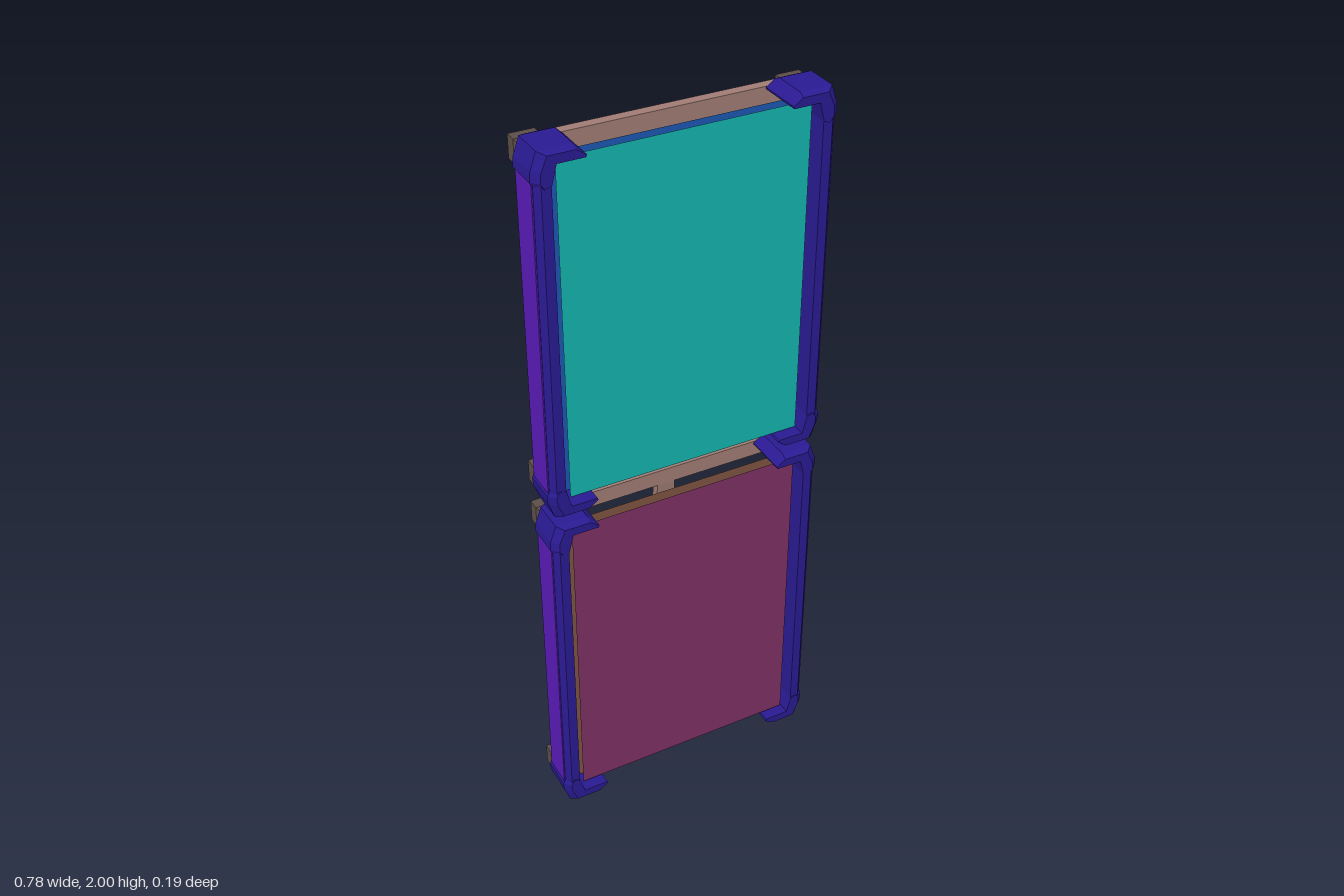
import * as THREE from 'three';

const paint = (color, extra = {}) =>
  new THREE.MeshStandardMaterial({ color, flatShading: true, ...extra });
const NAVY = paint(0x2a1a92), PURPLE = paint(0x5a1cb8), RAIL = paint(0xa07c74), CAP = paint(0x5c4e49);
const GOLD = paint(0xc48c1c, { flatShading: false, side: THREE.DoubleSide }), RUST = paint(0xc4501f);

const HALF = 0.4925;   // half height of one frame
const MID = 0.0625;    // middle of the frame depth

function add(parent, name, geometry, material, x = 0, y = 0, z = 0) {
  const mesh = new THREE.Mesh(geometry, material);
  mesh.name = name;
  mesh.position.set(x, y, z);
  parent.add(mesh);
  return mesh;
}

function shapeOf(points) {
  return new THREE.Shape(points.map(([x, y]) => new THREE.Vector2(x, y)));
}

// L-shaped corner bracket; its outer sides taper at the front and back ends
function bracketGeometry() {
  const h = HALF;
  const shape = shapeOf([[0.345, h - 0.08], [0.38, h - 0.085], [0.39, h - 0.07], [0.388, h - 0.045],
    [0.372, h], [0.285, h], [0.26, h - 0.025], [0.262, h - 0.031], [0.332, h - 0.031]]);
  const geo = new THREE.ExtrudeGeometry(shape, { depth: 3, steps: 3, bevelEnabled: false });
  const layers = [-0.0625, -0.045, 0.045, 0.0625];
  const p = geo.attributes.position;
  for (let i = 0; i < p.count; i++) {
    const layer = Math.round(p.getZ(i));
    if (layer === 0 || layer === 3) {
      if (p.getX(i) > 0.365) p.setX(i, p.getX(i) - 0.018);
      if (p.getY(i) > h - 0.01) p.setY(i, p.getY(i) - 0.008);
    }
    p.setZ(i, layers[layer]);
  }
  geo.computeVertexNormals();
  return geo;
}

// Upright post with chamfered outer edges
function postGeometry() {
  const length = 0.85;
  const shape = shapeOf([[0.345, -0.06], [0.37, -0.06], [0.383, -0.044], [0.383, 0.044], [0.37, 0.06], [0.345, 0.06]]);
  return new THREE.ExtrudeGeometry(shape, { depth: length, bevelEnabled: false })
    .translate(0, 0, -length / 2).rotateX(Math.PI / 2);
}

// Rear cap: a block with chamfered edges
function capGeometry() {
  const b = 0.012, w = 0.0325 - b, h = 0.03 - b;
  const shape = shapeOf([[-w, -h], [w, -h], [w, h], [-w, h]]);
  return new THREE.ExtrudeGeometry(shape, { depth: 0.044 - b, bevelSize: b, bevelThickness: b, bevelSegments: 1 })
    .translate(0, 0, -0.022 + b / 2);
}

// Cup with four ribs gripping it from outside and inside
function buildCup() {
  const cup = new THREE.Group();
  cup.name = 'cup';
  const profile = [[0, 0.004], [0.05, 0.004], [0.07, 0.01], [0.08, 0.026], [0.088, 0.045], [0.095, 0.068],
    [0.08, 0.068], [0.07, 0.04], [0.05, 0.022], [0, 0.018]].map(([r, y]) => new THREE.Vector2(r, y));
  add(cup, 'cupBowl', new THREE.LatheGeometry(profile, 24), GOLD).rotation.x = -Math.PI / 2;
  const ribShape = shapeOf([[0.048, 0], [0.077, 0], [0.083, 0.006], [0.101, 0.07], [0.075, 0.07],
    [0.062, 0.04], [0.045, 0.028]]);
  const rib = new THREE.ExtrudeGeometry(ribShape, { depth: 0.032, bevelEnabled: false })
    .translate(0, 0, -0.016).rotateX(-Math.PI / 2);
  for (let i = 0; i < 4; i++) add(cup, 'cupRib', rib, RUST).rotation.z = i * Math.PI / 2;
  return cup;
}

function buildFrame(frontColor, backColor) {
  const frame = new THREE.Group();

  // Posts and brackets
  const bracket = bracketGeometry(), post = postGeometry();
  const strip = new THREE.BoxGeometry(0.006, 0.85, 0.084).translate(0.383, 0, 0);
  for (const turn of [0, Math.PI]) {
    add(frame, 'post', post, NAVY, 0, 0, MID).rotation.y = turn;
    add(frame, 'postStrip', strip, PURPLE, 0, 0, MID).rotation.y = turn;
    add(frame, 'cornerBracket', bracket, NAVY, 0, 0, MID).rotation.y = turn;
    add(frame, 'cornerBracket', bracket, NAVY, 0, 0, MID).rotation.set(Math.PI, turn, 0);
  }

  // Thin front and back panels
  const panel = new THREE.PlaneGeometry(0.65, 0.915);
  add(frame, 'frontPanel', panel, paint(frontColor, { side: THREE.DoubleSide }), 0, 0.005, 0.1);
  add(frame, 'backPanel', panel, paint(backColor, { side: THREE.DoubleSide }), 0, 0.005, 0.07);

  // Cross rails with end caps, and the strut bowed out to the middle
  const cap = capGeometry();
  const rail = new THREE.BoxGeometry(0.64, 0.045, 0.028);
  const strut = new THREE.BoxGeometry(0.052, 0.43, 0.025);
  for (const s of [-1, 1]) {
    add(frame, 'crossRail', rail, RAIL, 0, s * 0.443, -0.022);
    for (const side of [-1, 1]) add(frame, 'railCap', cap, CAP, side * 0.342, s * 0.443, -0.025);
    add(frame, 'strut', strut, RAIL, 0, s * 0.213, -0.032).rotation.x = s * 0.05;
  }
  add(frame, 'cupMount', new THREE.BoxGeometry(0.052, 0.06, 0.03), RAIL, 0, 0, -0.052);

  const cup = buildCup();
  cup.rotation.y = Math.PI;
  cup.position.set(0, 0.01, -0.058);
  frame.add(cup);
  return frame;
}

export function createModel() {
  const model = new THREE.Group();
  model.name = 'stackedPanels';
  const lower = buildFrame(0x7d3063, 0x7d5240);
  lower.name = 'lowerFrame';
  lower.position.y = HALF;
  const upper = buildFrame(0x14b4ae, 0x1c58b4);
  upper.name = 'upperFrame';
  upper.position.y = 2 - HALF;
  model.add(lower, upper);
  return model;
}
